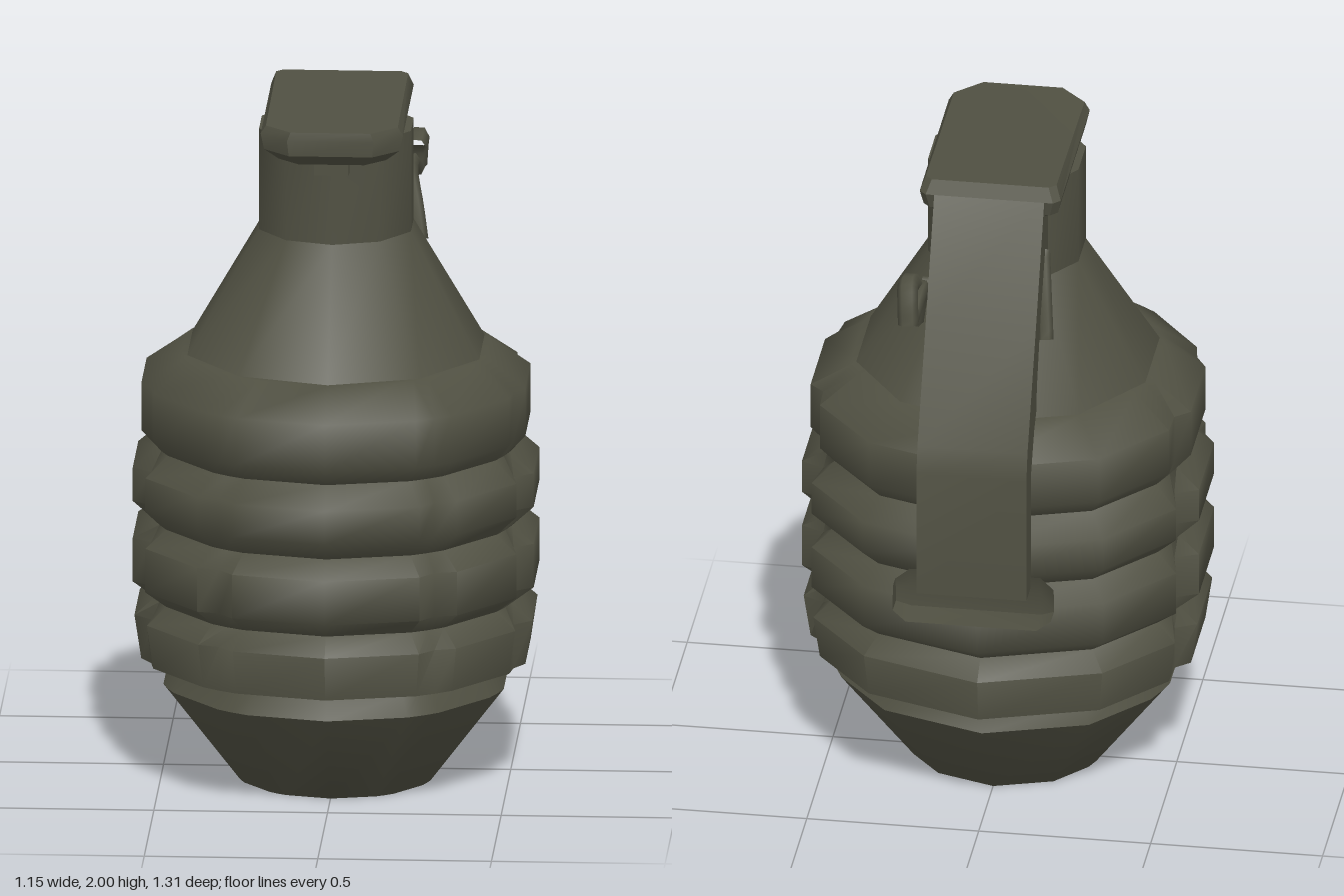
import * as THREE from 'three';
import { toCreasedNormals } from 'three/addons/utils/BufferGeometryUtils.js';

const olive = new THREE.MeshStandardMaterial({ color: 0x505042 });
olive.name = 'olive metal';

function part(name, geometry, crease = 0.6) {
  const mesh = new THREE.Mesh(toCreasedNormals(geometry, crease), olive);
  mesh.name = name;
  return mesh;
}

// Joins rings of equal length, listed from bottom to top, and caps both ends
function loft(rings) {
  const n = rings[0].length, pos = rings.flat(2), index = [];
  for (let j = 0; j < rings.length - 1; j++) {
    for (let i = 0; i < n; i++) {
      const a = j * n + i, b = j * n + (i + 1) % n;
      index.push(a, b, b + n, a, b + n, a + n);
    }
  }
  const last = (rings.length - 1) * n;
  for (let i = 1; i < n - 1; i++) {
    index.push(0, i + 1, i, last, last + i, last + i + 1);
  }
  const g = new THREE.BufferGeometry();
  g.setAttribute('position', new THREE.Float32BufferAttribute(pos, 3));
  g.setIndex(index);
  g.computeVertexNormals();
  return g;
}

// Side outline of [z, y] points, extruded across x
function extrudeSide(points, width) {
  const shape = new THREE.Shape(points.map(p => new THREE.Vector2(p[0], p[1])));
  return new THREE.ExtrudeGeometry(shape, { depth: width, bevelEnabled: false })
    .rotateY(-Math.PI / 2).translate(width / 2, 0, 0);
}

function tube(points, radius) {
  const curve = new THREE.CatmullRomCurve3(points.map(p => new THREE.Vector3(...p)));
  return new THREE.TubeGeometry(curve, 10, radius, 6);
}

// Horizontal ring of points at the given angles in degrees, 0 facing front
function ring(angles, y, radius, cz) {
  return angles.map(a => {
    const t = a * Math.PI / 180;
    const r = typeof radius === 'function' ? radius(a) : radius;
    return [Math.sin(t) * r, y, cz + Math.cos(t) * r];
  });
}

// Eight-cornered plan with cut corners at front and back
function plan(hw, z0, z1, cutFront, cutBack, y) {
  const f = cutFront, b = cutBack;
  return [[hw - f, z1], [hw, z1 - f], [hw, z0 + b], [hw - b, z0],
    [-hw + b, z0], [-hw, z0 + b], [-hw, z1 - f], [-hw + f, z1]].map(([x, z]) => [x, y, z]);
}

export function createModel() {
  const group = new THREE.Group();

  // Ribbed body with shallow vertical notches
  const half = [27, 33, 39, 64, 70, 76, 104, 109, 117, 144];
  const angles = [0, ...half, 180, ...half.map(a => 360 - a).reverse()];
  const dips = { 33: 0.57, 70: 0.555, 109: 0.54 };
  const profile = [[0, 0.285], [0.29, 0.505], [0.35, 0.475], [0.37, 0.57], [0.5, 0.59],
    [0.55, 0.53], [0.6, 0.595], [0.73, 0.595], [0.78, 0.53], [0.84, 0.595], [0.94, 0.595],
    [1.0, 0.525], [1.05, 0.57], [1.19, 0.57], [1.275, 0.45]];
  const body = loft(profile.map(([y, r]) => ring(angles, y,
    a => Math.min(r, dips[a > 180 ? 360 - a : a] ?? 1), 0.06)));
  group.add(part('ribbedBody', body, 1.05));

  // Ten-sided shoulder cone and neck
  const ten = Array.from({ length: 10 }, (_, i) => i * 36);
  const shoulder = loft([ring(ten, 1.27, 0.445, 0.06), ring(ten, 1.63, 0.23, 0.04)]);
  group.add(part('shoulder', shoulder, 0.7));
  group.add(part('neck', loft([ring(ten, 1.62, 0.23, 0.04), ring(ten, 1.93, 0.23, 0.04)]), 0.7));

  // Hinge bracket behind the neck
  group.add(part('hingeBracket', extrudeSide([[0, 1.92], [-0.27, 1.96], [-0.42, 1.68],
    [-0.36, 1.66], [-0.24, 1.64], [-0.2, 1.62], [-0.12, 1.63], [0, 1.64]], 0.29)));

  // Lid with a narrower underside
  const lid = loft([
    plan(0.155, -0.24, 0.31, 0.06, 0.02, 1.88),
    plan(0.195, -0.29, 0.352, 0.075, 0.02, 1.915),
    plan(0.205, -0.3, 0.355, 0.08, 0.02, 1.96),
    plan(0.19, -0.28, 0.35, 0.075, 0.02, 1.99)]);
  // Tilt the top slightly upward toward the hinge
  const p = lid.attributes.position;
  for (let i = 0; i < p.count; i++) {
    if (p.getY(i) > 1.98) p.setY(i, p.getZ(i) < 0 ? 2 : 1.985);
  }
  group.add(part('lid', lid));
  const tab = new THREE.BoxGeometry(0.1, 0.06, 0.06);
  group.add(part('lidTab', tab.translate(0, 1.875, 0.27)));

  // Safety lever: sloping strap, then a straight grip
  group.add(part('lever', extrudeSide([[-0.2, 1.99], [-0.27, 1.99], [-0.3, 1.96], [-0.46, 1.63],
    [-0.62, 1.31], [-0.64, 1.23], [-0.64, 0.84], [-0.555, 0.84], [-0.555, 1.2], [-0.49, 1.32],
    [-0.45, 1.36], [-0.44, 1.43], [-0.37, 1.62], [-0.22, 1.92]], 0.32)));

  // Rolled lever end with pointed sides
  const rollSection = [[-0.55, 0.75], [-0.55, 0.82], [-0.57, 0.88], [-0.635, 0.88],
    [-0.655, 0.82], [-0.65, 0.75]];
  const roll = [-0.23, -0.19, 0.19, 0.23].map(x => {
    const s = Math.abs(x) > 0.2 ? 0.6 : 1;
    return rollSection.map(([z, y]) => [x, 0.81 + (y - 0.81) * s, -0.603 + (z + 0.603) * s]);
  });
  group.add(part('leverEnd', loft(roll)));

  // Split pin with bent legs and a hooked pull
  const pin = new THREE.Group();
  pin.name = 'safetyPin';
  pin.add(part('pinLeg', tube([[0.225, 1.51, -0.235], [0.21, 1.6, -0.27], [0.19, 1.68, -0.34],
    [0.19, 1.695, -0.42], [0.2, 1.65, -0.51]], 0.025), 1.2));
  pin.add(part('pinHook', tube([[0.205, 1.735, -0.42], [0.21, 1.755, -0.47],
    [0.205, 1.72, -0.51], [0.2, 1.655, -0.53]], 0.03), 1.2));
  pin.add(part('pinFarLeg', tube([[-0.14, 1.75, -0.2], [-0.155, 1.66, -0.27],
    [-0.17, 1.53, -0.33]], 0.022), 1.2));
  const bar = new THREE.CylinderGeometry(0.025, 0.025, 0.34, 6).rotateZ(Math.PI / 2);
  pin.add(part('pinBar', bar.translate(0.02, 1.68, -0.33), 1.2));
  group.add(pin);

  return group;
}
